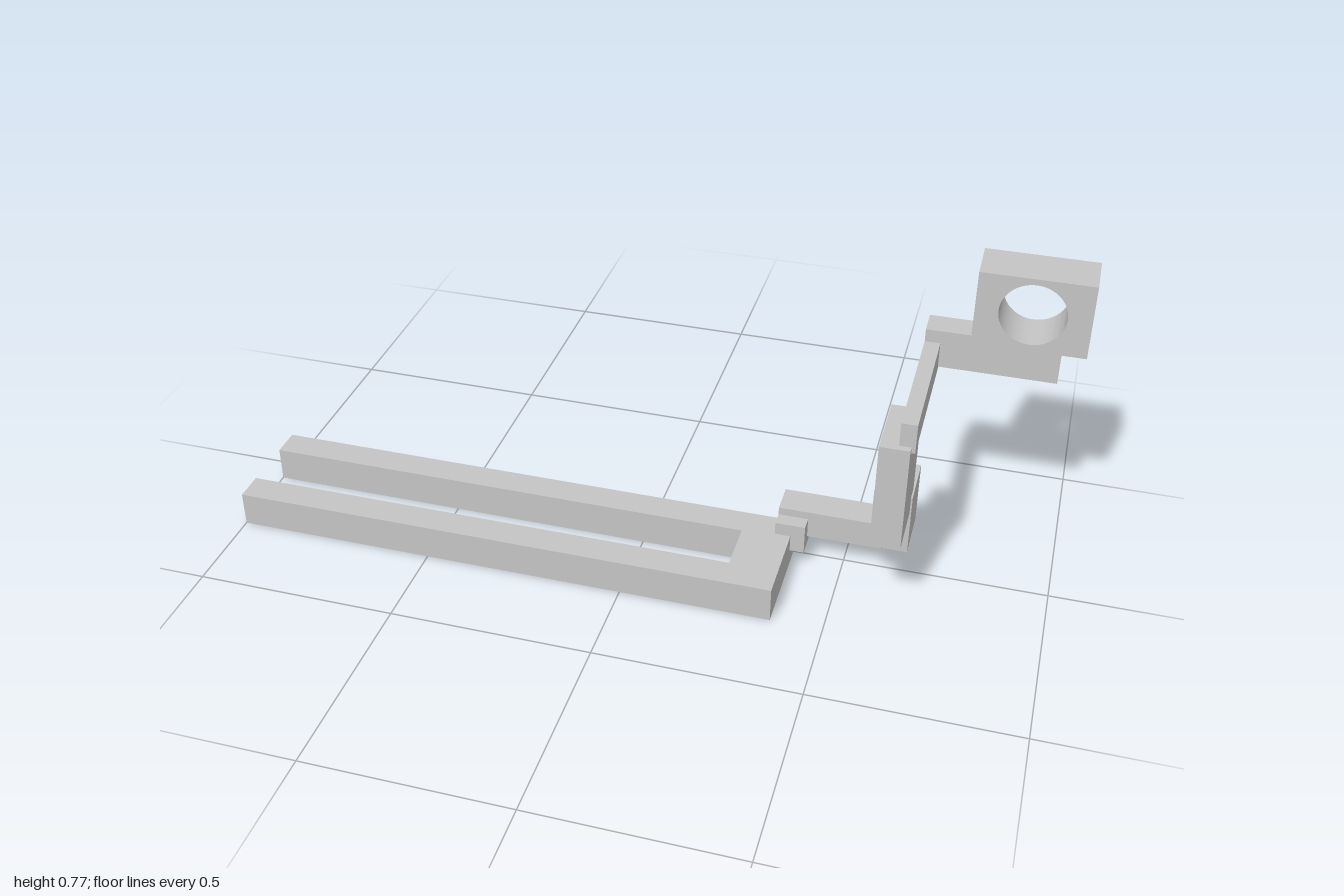
import * as THREE from 'three';
import { toCreasedNormals } from 'three/addons/utils/BufferGeometryUtils.js';

export function createModel() {
  const model = new THREE.Group();
  const grey = new THREE.MeshStandardMaterial({ color: 0xc5c5c5 });
  grey.name = 'light grey';

  const add = (name, geometry) => {
    const mesh = new THREE.Mesh(geometry, grey);
    mesh.name = name;
    model.add(mesh);
    return mesh;
  };

  // Box from its lower and upper corner
  const block = (name, [x0, y0, z0], [x1, y1, z1]) =>
    add(name, new THREE.BoxGeometry(x1 - x0, y1 - y0, z1 - z0))
      .position.set((x0 + x1) / 2, (y0 + y1) / 2, (z0 + z1) / 2);

  // Two-pronged base: U outline in plan, extruded upwards
  const outline = [
    [-1, -0.273], [0.373, -0.273], [0.373, 0.008], [-1, 0.008],
    [-1, -0.067], [0.253, -0.067], [0.253, -0.198], [-1, -0.198],
  ].map(([x, y]) => new THREE.Vector2(x, y));
  const fork = new THREE.ExtrudeGeometry(new THREE.Shape(outline), { depth: 0.089, bevelEnabled: false });
  fork.rotateX(-Math.PI / 2);
  add('forkBase', fork);

  // Chain of overlapping arm links
  block('baseConnector', [0.334, 0.046, -0.058], [0.408, 0.122, 0.057]);
  block('lowerLink', [0.334, 0.07, -0.06], [0.592, 0.142, 0.02]);
  block('elbowBlock', [0.569, 0.121, -0.056], [0.66, 0.282, 0.081]);
  block('uprightLink', [0.586, 0.237, 0.044], [0.656, 0.506, 0.222]);
  block('crossLink', [0.628, 0.491, -0.192], [0.665, 0.565, 0.205]);
  block('upperLink', [0.628, 0.501, -0.227], [0.943, 0.598, -0.157]);

  // Head block with a round through hole
  const head = new THREE.Shape([[0.734, 0.581], [1, 0.581], [1, 0.769], [0.734, 0.769]]
    .map(([x, y]) => new THREE.Vector2(x, y)));
  head.holes.push(new THREE.Path().absarc(0.866, 0.676, 0.078, 0, Math.PI * 2, true));
  const headGeometry = new THREE.ExtrudeGeometry(head, { depth: 0.121, bevelEnabled: false, curveSegments: 32 });
  headGeometry.translate(0, 0, -0.273);
  add('ringHead', toCreasedNormals(headGeometry, 0.6));

  return model;
}
